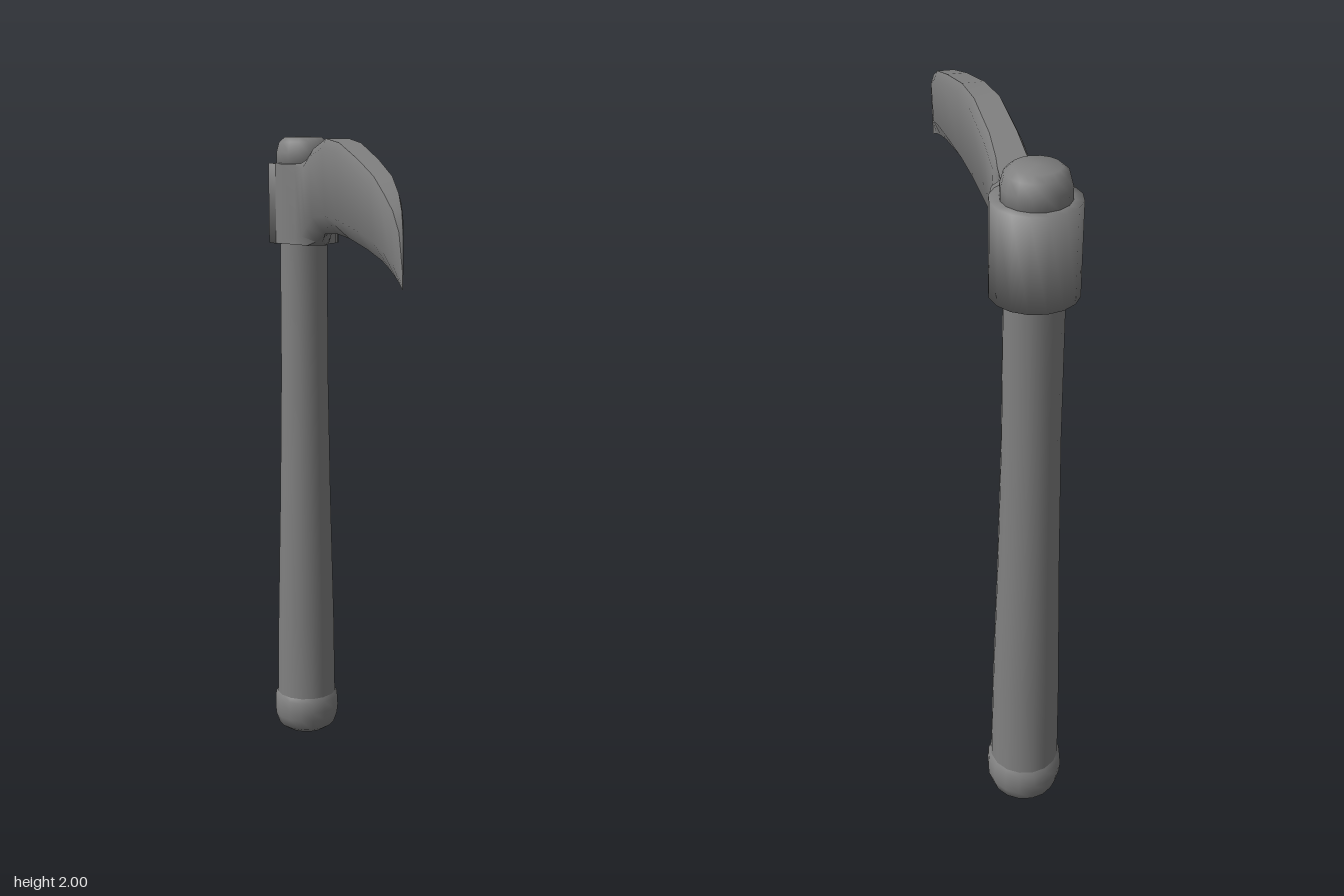
import * as THREE from 'three';
import { toCreasedNormals } from 'three/addons/utils/BufferGeometryUtils.js';

const AXIS_Z = -0.529;

export function createModel() {
  const group = new THREE.Group();
  const material = new THREE.MeshStandardMaterial({ color: 0x808080 });

  const add = (name, geometry, crease) => {
    const mesh = new THREE.Mesh(toCreasedNormals(geometry, crease), material);
    mesh.name = name;
    group.add(mesh);
    return mesh;
  };
  // Turned part around the handle axis, profile as [radius, y] from bottom to top
  const turned = (name, profile, crease = 0.9) => {
    const points = profile.map(([r, y]) => new THREE.Vector2(r, y));
    add(name, new THREE.LatheGeometry(points, 16), crease).position.z = AXIS_Z;
  };

  turned('handle', [[0.1, 0.1], [0.096, 0.4], [0.085, 0.85], [0.078, 1.25], [0.077, 1.7]]);
  turned('pommel', [[0, 0], [0.07, 0.003], [0.095, 0.02], [0.107, 0.055], [0.11, 0.085], [0.108, 0.12], [0.099, 0.135]]);
  turned('collar', [[0.07, 1.67], [0.113, 1.67], [0.113, 1.918], [0.08, 1.918]], 1.7);
  turned('topKnob', [[0.075, 1.9], [0.087, 1.915], [0.087, 1.95], [0.078, 1.983], [0.06, 1.998], [0, 2]]);

  // Blade stations: z, top y, bottom y, half width, edge sharpness (0 = square, 1 = sharp)
  const stations = [
    [-0.49, 1.917, 1.671, 0.104, 0],
    [-0.437, 1.917, 1.671, 0.085, 0],
    [-0.405, 1.917, 1.671, 0.054, 0],
    [-0.34, 1.92, 1.671, 0.051, 0.4],
    [-0.30, 1.93, 1.685, 0.05, 0.8],
    [-0.22, 1.962, 1.713, 0.049, 1],
    [-0.05, 1.992, 1.724, 0.047, 1],
    [0.10, 1.98, 1.72, 0.043, 1],
    [0.30, 1.938, 1.704, 0.039, 1],
    [0.45, 1.898, 1.686, 0.034, 1],
    [0.53, 1.858, 1.669, 0.027, 1],
    [0.587, 1.818, 1.653, 0.016, 1],
    [0.622, 1.768, 1.64, 0.007, 1],
    [0.643, 1.67, 1.63, 0.001, 1],
  ];
  const positions = [];
  const index = [];
  const n = 8;
  stations.forEach(([z, top, bottom, w, sharp]) => {
    const h = top - bottom;
    const bevelY = bottom + Math.min(0.05, h * 0.25) * (0.3 + 0.7 * sharp);
    const bevelW = w * (1 - 0.2 * sharp);
    const edgeW = w * (1 - 0.98 * sharp);
    const spineW = w * (1 - 0.28 * sharp);
    const shoulderY = top - Math.min(0.025, h * 0.15) * (0.3 + 0.7 * sharp);
    const side = [[edgeW, bottom], [bevelW, bevelY], [w, shoulderY], [spineW, top]];
    side.forEach(([x, y]) => positions.push(x, y, z));
    side.reverse().forEach(([x, y]) => positions.push(-x, y, z));
  });
  for (let i = 0; i < stations.length - 1; i++) {
    for (let j = 0; j < n; j++) {
      const k = (j + 1) % n;
      const a = i * n + j, b = i * n + k, c = b + n, d = a + n;
      index.push(a, b, c, a, c, d);
    }
  }
  // End caps
  const last = (stations.length - 1) * n;
  for (let j = 1; j < n - 1; j++) {
    index.push(0, j + 1, j, last, last + j, last + j + 1);
  }
  const blade = new THREE.BufferGeometry();
  blade.setAttribute('position', new THREE.Float32BufferAttribute(positions, 3));
  blade.setIndex(index);
  add('blade', blade, 0.95);

  return group;
}
